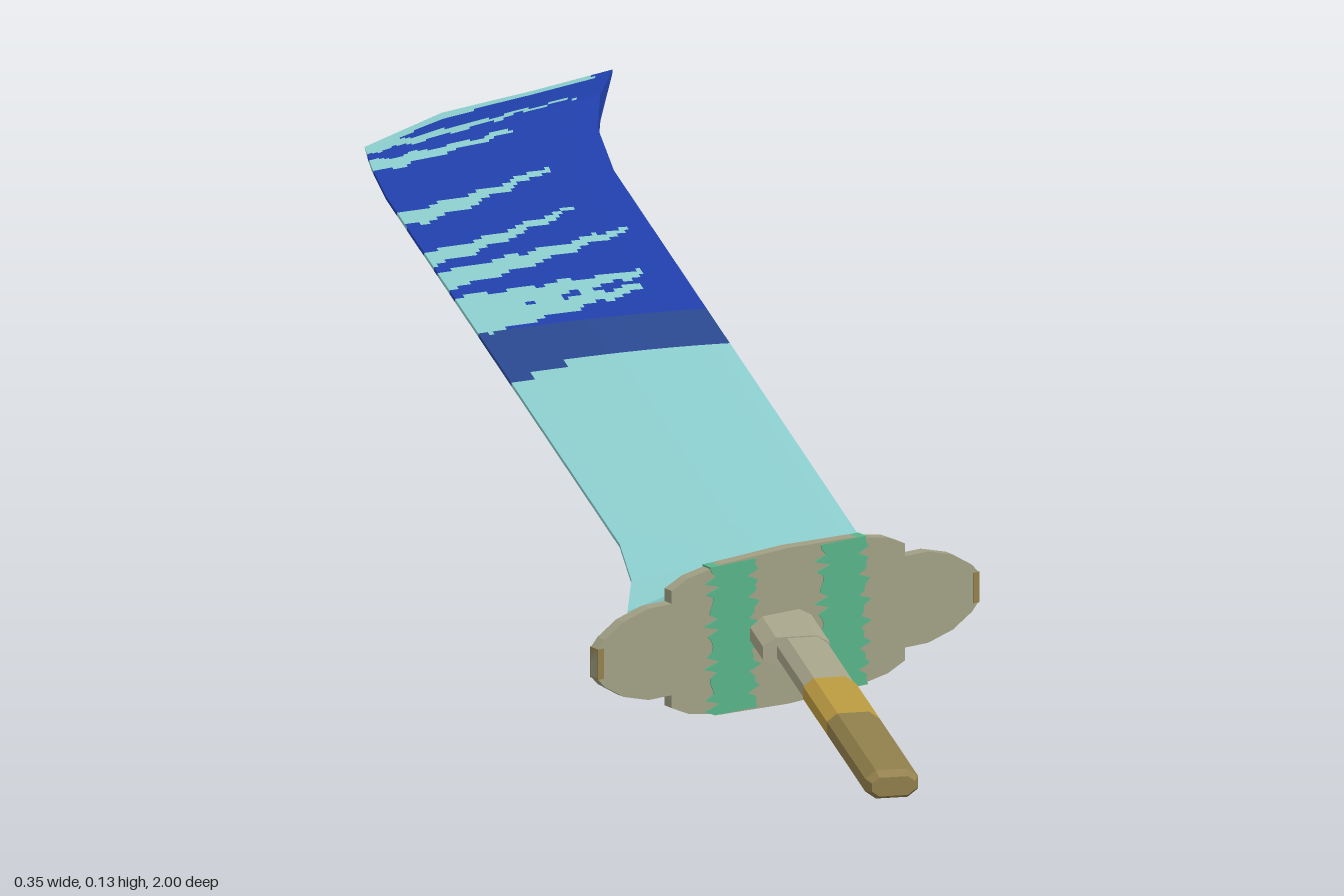
import * as THREE from 'three';

const Y = 0.068; // height of the sword's centre plane

const material = (name, color) => {
  const m = new THREE.MeshStandardMaterial({ color });
  m.name = name;
  return m;
};
const pale = material('paleCyan', 0x8fd2d2);
const blue = material('deepBlue', 0x2141ae);
const dusk = material('dullBlue', 0x2c4a94);
const khaki = material('khaki', 0xa09f84);
const wrap = material('greyWrap', 0xa9a78c);
const green = material('green', 0x58b388);
const gold = material('gold', 0xbc9c42);
const brown = material('brown', 0x92804c);
const bladeColours = [pale, blue, dusk];

// Blade cross lines from heel to tip as [x, z] points, with rows up to the next
const heel = [[-0.12, 0.485], [-0.06, 0.44], [-0.015, 0.46], [0.02, 0.46], [0.03, 0.43], [0.05, 0.39], [0.1, 0.36]];
const tip = [[-0.08, -0.83], [0, -0.91], [0.085, -0.955], [0.16, -1]];
const sections = [
  { line: heel, rows: 8 },
  { line: [[-0.1, 0.4], [0.1, 0.34]], rows: 8 },
  { line: [[-0.09, 0.3], [0.1, 0.3]], rows: 24 },
  { line: [[-0.09, -0.2], [0.1, -0.2]], rows: 60 },
  { line: [[-0.09, -0.69], [0.1, -0.69]], rows: 14 },
  { line: [[-0.086, -0.77], [0.11, -0.81]], rows: 10 },
  { line: [[-0.083, -0.8], [0.13, -0.9]], rows: 10 },
  { line: tip, rows: 0 },
];

// Point on a polyline at fraction u of its x range
function along(line, u) {
  const x = THREE.MathUtils.lerp(line[0][0], line[line.length - 1][0], u);
  let i = 0;
  while (i < line.length - 2 && x > line[i + 1][0]) i++;
  const [a, b] = [line[i], line[i + 1]];
  return [x, a[1] + (b[1] - a[1]) * (x - a[0]) / (b[0] - a[0])];
}

// Rows of the blade: two neighbouring lines, a blend, and a taper at the tip
const rows = [];
sections.forEach((s, i) => {
  for (let k = 0; k < s.rows; k++) rows.push([s.line, sections[i + 1].line, k / s.rows, i === 6 ? 1 - 0.9 * k / s.rows : 1]);
});
rows.push([tip, tip, 0, 0.08]);

// Surface point: u from cutting edge to spine, r the row, side -1 to 1
function bladePoint(u, r, side) {
  const [a, b, f, taper] = rows[r];
  const p = along(a, u), q = along(b, u);
  const half = (0.0015 + 0.01 * Math.sin(u * Math.PI / 2)) * taper;
  return [p[0] + (q[0] - p[0]) * f, Y + half * side, p[1] + (q[1] - p[1]) * f];
}

// Streaks: z at the cutting edge, x and z of the point, half width
const streaks = [
  [-0.325, 0.06, -0.37, 0.03], [-0.37, 0.07, -0.41, 0.03], [-0.45, 0.08, -0.53, 0.025],
  [-0.51, 0.05, -0.6, 0.018], [-0.62, 0.05, -0.71, 0.02], [-0.77, 0.04, -0.82, 0.016], [-0.82, 0.11, -0.9, 0.013],
];
function faceColour(x, z) {
  if (z > -0.2 + Math.max(0, -0.02 - x) * 0.6) return 0;
  if (x < 0.14 && z - along(tip, (x + 0.08) / 0.24)[1] < 0.018) return 0;
  for (const [z0, x1, z1, w] of streaks) {
    const f = (x + 0.09) / (x1 + 0.09);
    const wobble = 0.004 * Math.sin(x * 170 + z0 * 90);
    if (f < 1 && Math.abs(z - z0 - (z1 - z0) * f ** 1.4 - wobble) < w * (1 - 0.75 * f)) return 0;
  }
  return z > -0.3 ? 2 : 1;
}
const spineDashes = [[0.11, 0.045], [0, 0.025], [-0.11, 0.025], [-0.18, 0.012]];
const spineColour = (x, z) => (z > 0.22 || spineDashes.some(([c, w]) => Math.abs(z - c) < w) ? 0 : 1);

// Grid surface whose cells are sorted into material groups
function grid(name, nu, nv, point, pick) {
  const pos = [], lists = [[], [], []];
  for (let j = 0; j <= nv; j++) for (let i = 0; i <= nu; i++) pos.push(...point(i, j));
  for (let j = 0; j < nv; j++) for (let i = 0; i < nu; i++) {
    const a = j * (nu + 1) + i, b = a + 1, c = a + nu + 1, d = c + 1;
    const mid = (k) => (pos[a * 3 + k] + pos[d * 3 + k]) / 2;
    lists[pick(mid(0), mid(2))].push(a, b, d, a, d, c);
  }
  const g = new THREE.BufferGeometry();
  g.setAttribute('position', new THREE.Float32BufferAttribute(pos, 3));
  g.setIndex(lists.flat());
  let start = 0;
  lists.forEach((l, k) => {
    if (l.length) g.addGroup(start, l.length, k);
    start += l.length;
  });
  g.computeVertexNormals();
  const mesh = new THREE.Mesh(g, bladeColours);
  mesh.name = name;
  return mesh;
}

function createBlade() {
  const blade = new THREE.Group();
  blade.name = 'blade';
  const n = 48, m = rows.length - 1;
  blade.add(
    grid('bladeUpperFace', n, m, (i, j) => bladePoint(i / n, j, 1), faceColour),
    grid('bladeLowerFace', n, m, (i, j) => bladePoint(1 - i / n, j, -1), faceColour),
    grid('bladeSpine', 1, m, (i, j) => bladePoint(1, j, 1 - 2 * i), spineColour),
    grid('cuttingEdge', 1, m, (i, j) => bladePoint(0, j, 2 * i - 1), faceColour),
    grid('bladeHeel', n, 1, (i, j) => bladePoint(i / n, 0, 2 * j - 1), () => 0),
    grid('bladeTip', n, 1, (i, j) => bladePoint(1 - i / n, m, 2 * j - 1), faceColour),
  );
  return blade;
}

const shapeOf = (pts) => new THREE.Shape(pts.map((p) => new THREE.Vector2(...p)));

// Flattened octagonal bar running along z
function bar(name, w, h, z0, z1, mat, x = 0, bevel = 0) {
  const c = w * 0.6, k = h * 0.45;
  const shape = shapeOf([[w, -k], [w, k], [c, h], [-c, h], [-w, k], [-w, -k], [-c, -h], [c, -h]]);
  const g = new THREE.ExtrudeGeometry(shape, {
    depth: z1 - z0 - bevel, bevelEnabled: bevel > 0, bevelThickness: bevel, bevelSize: bevel * 0.5, bevelOffset: -bevel * 0.5, bevelSegments: 1,
  });
  const mesh = new THREE.Mesh(g, mat);
  mesh.name = name;
  mesh.position.set(x, Y, z0);
  return mesh;
}

// Slab centred on its own plane
function slab(name, pts, depth, mat) {
  const g = new THREE.ExtrudeGeometry(shapeOf(pts), { depth, bevelEnabled: false });
  g.translate(0, 0, -depth / 2);
  const mesh = new THREE.Mesh(g, mat);
  mesh.name = name;
  return mesh;
}

function createGuard() {
  const guard = new THREE.Group();
  guard.name = 'guard';
  // One quarter of the lobed outline, mirrored to all four
  const q = [[0.19, 0.012], [0.183, 0.02], [0.164, 0.032], [0.139, 0.039], [0.116, 0.039], [0.116, 0.05], [0.099, 0.058], [0.066, 0.064], [0, 0.0665]];
  const top = [...q, ...q.slice(0, -1).reverse().map(([x, y]) => [-x, y])];
  guard.add(slab('guardPlate', [...top, ...top.map(([x, y]) => [-x, -y])], 0.01, khaki));
  // Ragged green bands
  for (const s of [-1, 1]) {
    const left = [], right = [], n = 28;
    for (let i = 0; i <= n; i++) {
      const y = -0.0635 + 0.127 * i / n;
      const rag = 0.007 * (i % 2) + 0.005 * Math.sin(i * 2.3);
      left.push([s * 0.055 - 0.018 - rag, y]);
      right.push([s * 0.055 + 0.018 + 0.006 * ((i + 1) % 2) + 0.004 * Math.sin(i * 1.7), y]);
    }
    guard.add(slab('greenBand', [...right, ...left.reverse()], 0.0116, green));
    // Gold end caps
    const cap = new THREE.Mesh(new THREE.BoxGeometry(0.006, 0.026, 0.0112), brown);
    cap.name = 'guardEndCap';
    cap.position.x = s * 0.187;
    guard.add(cap);
  }
  guard.position.set(0, Y, 0.54);
  guard.rotation.y = 0.415;
  return guard;
}

export function createModel() {
  const sword = new THREE.Group();
  sword.name = 'sword';
  sword.add(
    createBlade(),
    bar('tang', 0.013, 0.009, 0.44, 0.52, pale, 0.003),
    bar('collar', 0.028, 0.0125, 0.505, 0.615, wrap, -0.005),
    createGuard(),
    bar('upperGrip', 0.021, 0.0115, 0.6, 0.73, wrap),
    bar('goldGrip', 0.022, 0.012, 0.73, 0.83, gold),
    bar('lowerGrip', 0.022, 0.012, 0.83, 1, brown, 0, 0.008),
  );
  return sword;
}
